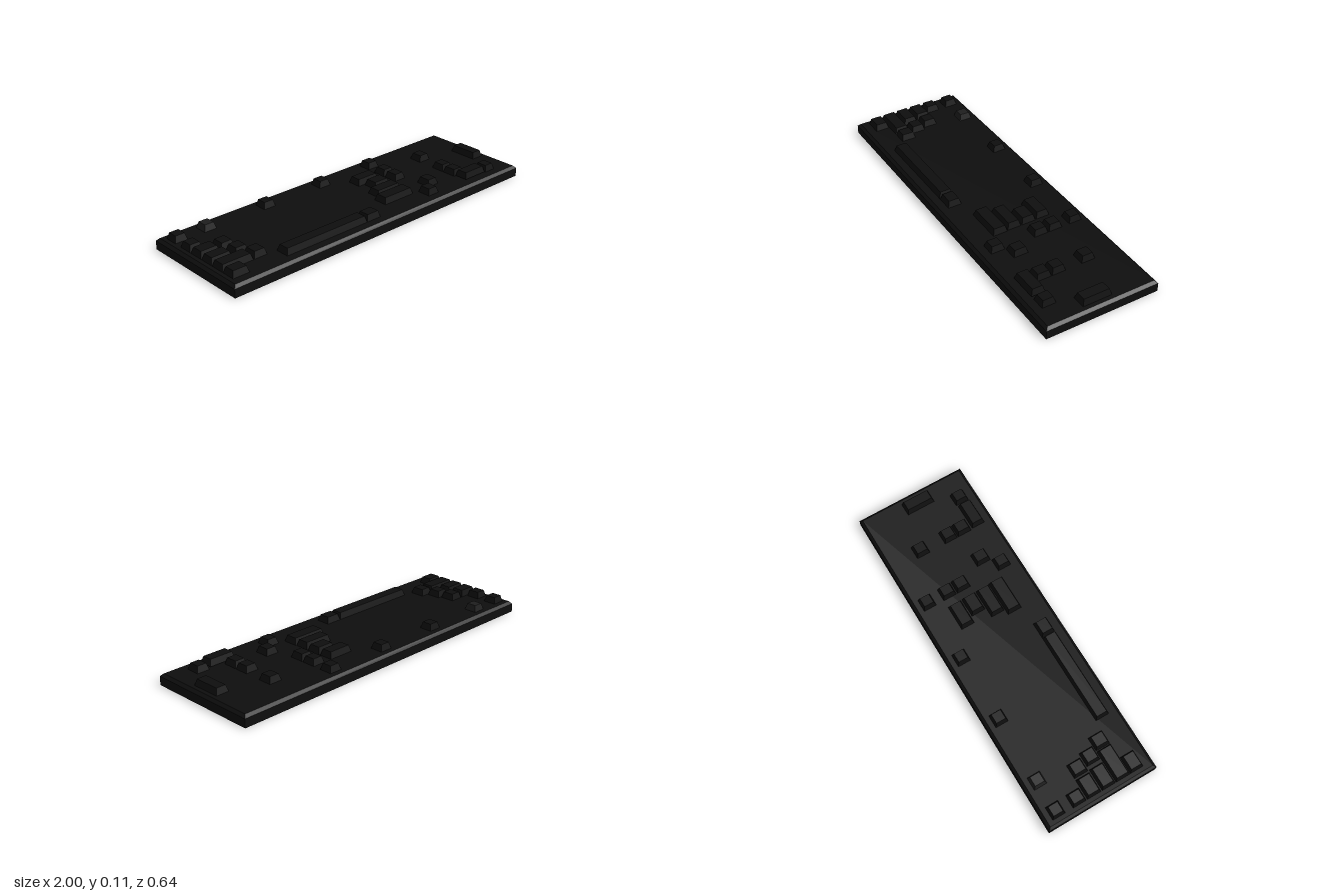
import * as THREE from 'three';

const DECK = 0.063;      // height of the deck the keys sit on
const KEY_HEIGHT = 0.035;
const LEFT = -0.963;     // outer edge of the left key column

const caseMaterial = new THREE.MeshStandardMaterial({ color: 0x0e0e0e });
const keyMaterial = new THREE.MeshStandardMaterial({ color: 0x0e0e0e });
const paleKeyMaterial = new THREE.MeshStandardMaterial({ color: 0x1e1e1e });

// Each row: [z back, z front, keys as [name, x start, x end]]
const ROWS = [
  [-0.278, -0.204, [['escapeKey', LEFT, -0.889], ['paleFunctionKey', -0.787, -0.714],
    ['functionKeyMiddle', -0.407, -0.333], ['functionKeyRight', -0.022, 0.052], ['printKey', 0.342, 0.416]]],
  [-0.158, -0.08, [['graveKey', LEFT, -0.889], ['backspaceKey', 0.15, 0.296],
    ['insertKey', 0.342, 0.416], ['numLockKey', 0.63, 0.705]]],
  [-0.073, 0.008, [['tabKey', LEFT, -0.85], ['firstUpperLetterKey', -0.84, -0.762],
    ['backslashKey', 0.188, 0.298], ['deleteKey', 0.342, 0.416]]],
  [0.015, 0.093, [['capsKey', LEFT, -0.84], ['firstHomeLetterKey', -0.82, -0.742],
    ['enterKey', 0.13, 0.298], ['numpadMiddleKey', 0.63, 0.705]]],
  [0.098, 0.181, [['leftShiftKey', LEFT, -0.78], ['firstLowerLetterKey', -0.775, -0.697],
    ['rightShiftKey', 0.097, 0.302], ['upArrowKey', 0.423, 0.498], ['numpadLowerKey', 0.63, 0.705]]],
  [0.184, 0.262, [['leftControlKey', LEFT, -0.866], ['spaceBar', -0.64, -0.112],
    ['rightAltKey', -0.11, -0.018], ['leftArrowKey', 0.342, 0.416], ['numpadPointKey', 0.8, 0.873]]],
];

// Box standing on y = 0 whose top is drawn in; the sides slope from `shoulder` upward
function taperedBox(width, height, depth, inset, shoulder = 0) {
  const geometry = new THREE.BoxGeometry(width, height, depth, 1, shoulder ? 2 : 1, 1).toNonIndexed();
  const p = geometry.attributes.position;
  for (let i = 0; i < p.count; i++) {
    const y = p.getY(i);
    if (y > height * 0.25) {
      p.setXYZ(i, p.getX(i) - Math.sign(p.getX(i)) * inset, height, p.getZ(i) - Math.sign(p.getZ(i)) * inset);
    } else {
      p.setY(i, y < -height * 0.25 ? 0 : shoulder);
    }
  }
  geometry.computeVertexNormals();
  return geometry;
}

function makeKey(name, x0, x1, z0, z1, y = DECK, material = keyMaterial) {
  const key = new THREE.Mesh(taperedBox(x1 - x0, KEY_HEIGHT, z1 - z0, 0.01), material);
  key.name = name;
  key.position.set((x0 + x1) / 2, y, (z0 + z1) / 2);
  return key;
}

export function createModel() {
  const keyboard = new THREE.Group();
  keyboard.name = 'keyboard';

  // Flat case with a bevelled upper rim
  const body = new THREE.Mesh(taperedBox(2, DECK, 0.642, 0.015, 0.048), caseMaterial);
  body.name = 'case';
  keyboard.add(body);

  // Keycaps
  const keys = new THREE.Group();
  keys.name = 'keys';
  for (const [z0, z1, row] of ROWS) {
    for (const [name, x0, x1] of row) {
      keys.add(makeKey(name, x0, x1, z0, z1, DECK, name === 'paleFunctionKey' ? paleKeyMaterial : keyMaterial));
    }
  }

  // Tall number pad key and the wide zero key, which floats just above the deck
  keys.add(makeKey('numpadPlusKey', 0.888, 0.963, -0.073, 0.093));
  keys.add(makeKey('numpadZeroKey', 0.632, 0.788, 0.189, 0.266, 0.071));
  keyboard.add(keys);
  return keyboard;
}
